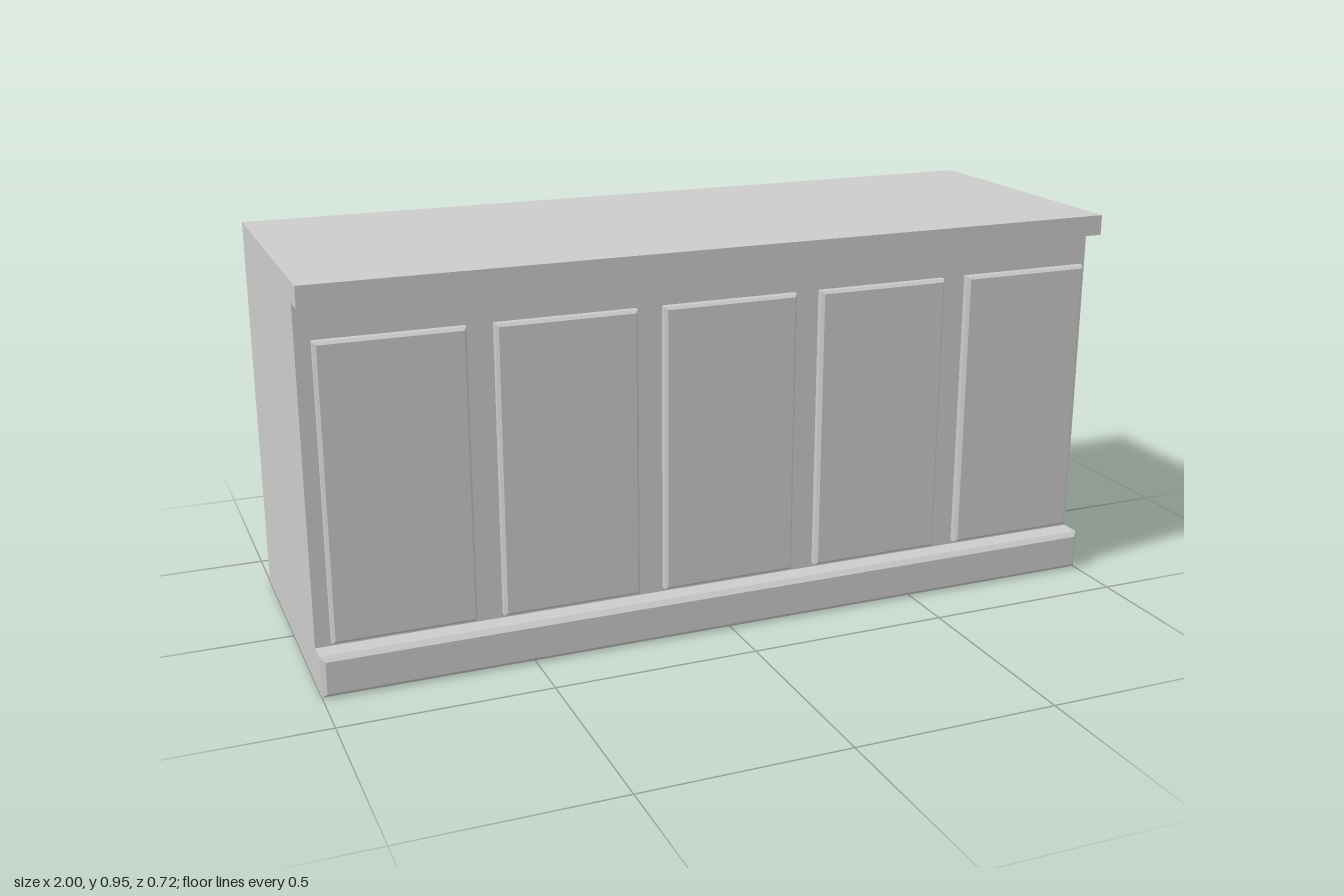
import * as THREE from 'three';

const material = new THREE.MeshStandardMaterial({ color: 0xcccccc, flatShading: true });

// Box with chamfered edges, given by its outer limits
function chamferedBox(name, x0, x1, y0, y1, z0, z1, c) {
  const shape = new THREE.Shape();
  shape.moveTo(x0 + c, y0 + c);
  shape.lineTo(x1 - c, y0 + c);
  shape.lineTo(x1 - c, y1 - c);
  shape.lineTo(x0 + c, y1 - c);
  shape.closePath();
  const geometry = new THREE.ExtrudeGeometry(shape, {
    depth: z1 - z0 - 2 * c, bevelEnabled: true,
    bevelThickness: c, bevelSize: c, bevelSegments: 1,
  });
  geometry.translate(0, 0, z0 + c);
  const mesh = new THREE.Mesh(geometry, material);
  mesh.name = name;
  return mesh;
}

export function createModel() {
  const group = new THREE.Group();
  group.name = 'counter';

  // Cabinet and overhanging top: one side profile (z, y) swept along x
  const profile = new THREE.Shape([
    [-0.36, 0], [0.3, 0], [0.3, 0.9], [0.36, 0.9], [0.36, 0.95], [-0.36, 0.95],
  ].map(([z, y]) => new THREE.Vector2(-z, y)));
  const bodyGeometry = new THREE.ExtrudeGeometry(profile, { depth: 2, bevelEnabled: false });
  bodyGeometry.translate(0, 0, -1).rotateY(Math.PI / 2);
  const body = new THREE.Mesh(bodyGeometry, material);
  body.name = 'cabinetWithTop';
  group.add(body);

  // Skirting along the foot of the front, its back sunk into the cabinet
  group.add(chamferedBox('skirting', -1, 1, 0, 0.1, 0.28, 0.36, 0.011));

  // Row of five front panels, standing slightly clear of the cabinet
  for (let i = 0; i < 5; i++) {
    const x = (i - 2) * 0.4;
    group.add(chamferedBox(`frontPanel${i + 1}`, x - 0.168, x + 0.168, 0.122, 0.821, 0.317, 0.346, 0.007));
  }
  return group;
}
